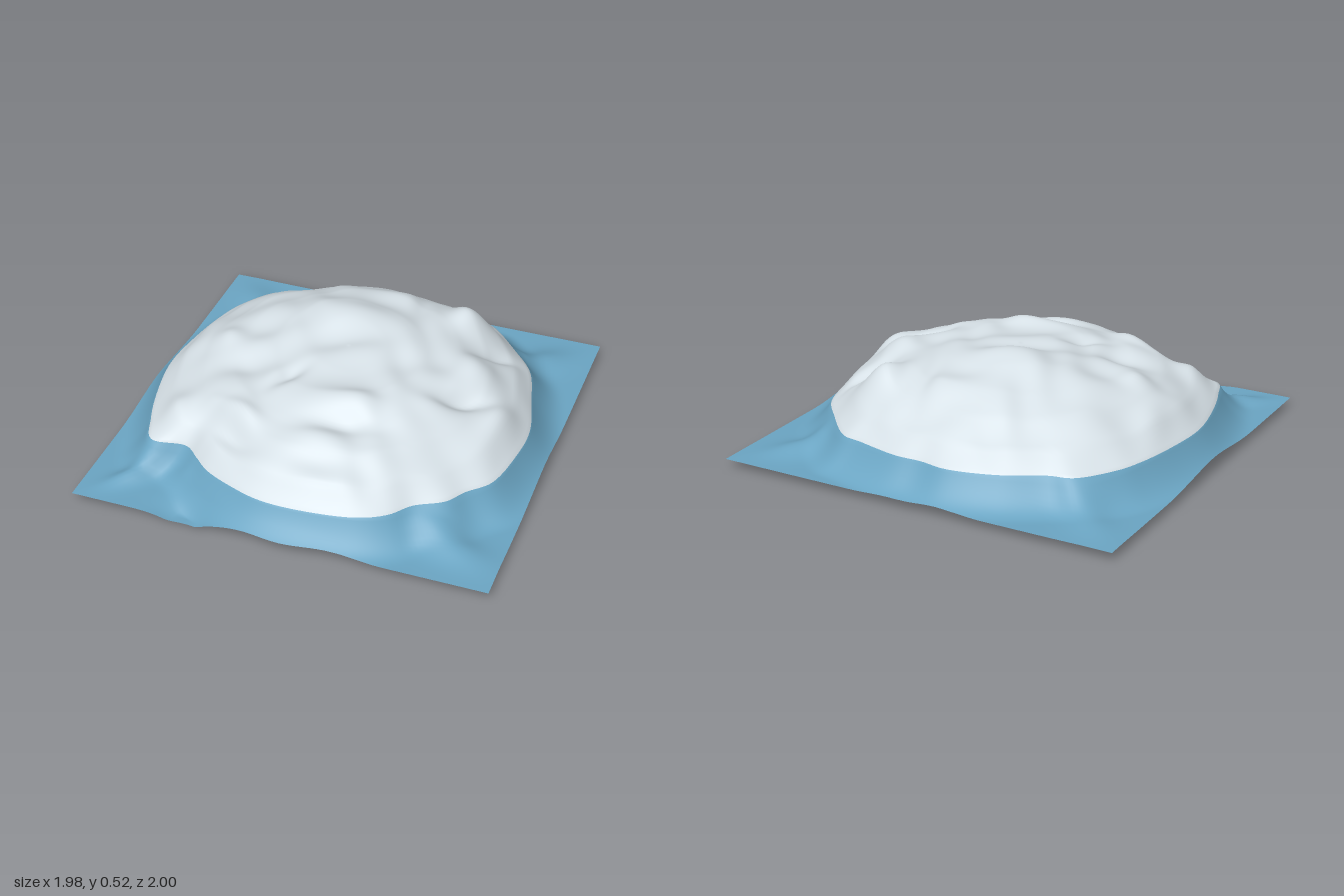
import * as THREE from 'three';

// Shoreline of the pale upper ground, seen from above (x, z)
const SHORE = [
  [0.89, 0], [0.88, 0.2], [0.83, 0.42], [0.74, 0.52], [0.68, 0.61], [0.55, 0.69], [0.47, 0.785], [0.35, 0.85],
  [0.1, 0.89], [-0.1, 0.885], [-0.25, 0.84], [-0.4, 0.77], [-0.48, 0.7], [-0.56, 0.635],
  [-0.73, 0.645], [-0.8, 0.5], [-0.86, 0.3], [-0.9, 0.05], [-0.875, -0.2], [-0.83, -0.4],
  [-0.78, -0.53], [-0.65, -0.7], [-0.54, -0.73], [-0.35, -0.83], [-0.12, -0.885], [0.02, -0.865], [0.15, -0.865],
  [0.38, -0.81], [0.47, -0.79], [0.65, -0.61], [0.76, -0.47], [0.83, -0.25],
];
const SHORE_Y = 0.185;

// Dome height against distance (0 = middle, 1 = shoreline)
const DOME = [[0, 0.455], [0.2, 0.45], [0.4, 0.432], [0.6, 0.392], [0.75, 0.345], [0.9, 0.268], [1, SHORE_Y]];

// Knolls and hollows on the dome: x, z, height, length, width, turn from the x axis towards z
const KNOLLS = [
  [-0.12, -0.25, 0.07, 0.33, 0.18, 0], [-0.6, 0.02, 0.05, 0.08, 0.08, 0], [-0.42, 0.2, -0.035, 0.16, 0.09, 0],
  [0.44, -0.52, 0.1, 0.14, 0.11, 1.9], [0.2, -0.52, -0.025, 0.13, 0.05, 1.3], [0.05, -0.55, 0.045, 0.3, 0.13, 0],
  [0.63, -0.36, -0.045, 0.12, 0.05, -0.8], [0.58, -0.13, 0.06, 0.11, 0.1, 0.4], [0.58, 0.11, -0.04, 0.12, 0.05, -0.5],
  [0.78, 0.13, 0.07, 0.14, 0.08, 1.6], [0.46, 0.22, 0.03, 0.12, 0.08, 0], [0.16, 0.36, 0.04, 0.15, 0.07, -0.2],
  [-0.2, 0.27, -0.03, 0.1, 0.045, -0.9], [0.14, 0.49, -0.03, 0.17, 0.05, -0.2], [-0.35, 0.52, 0.03, 0.16, 0.05, 0.3],
  [-0.33, 0.64, -0.035, 0.16, 0.05, 0.35], [-0.67, 0.5, 0.045, 0.1, 0.08, 1], [0.08, 0.79, 0.03, 0.25, 0.06, 0],
  [-0.55, -0.45, 0.015, 0.15, 0.15, 0], [0.15, 0.61, 0.02, 0.2, 0.06, 0], [-0.77, -0.1, 0.035, 0.2, 0.08, 1.5],
];
// Rises and dips on the low ground, same layout
const LOW_GROUND = [
  [-0.45, 0.95, -0.055, 0.12, 0.1, 0], [-0.76, 0.75, 0.045, 0.14, 0.05, 2.36], [-0.5, 0.74, 0.02, 0.12, 0.04, 0.1],
  [0.69, 0.73, 0.05, 0.2, 0.09, 0.3], [0.73, -0.73, 0.04, 0.16, 0.09, -0.8], [-0.76, -0.78, 0.025, 0.16, 0.09, 0.8],
  [0, 1, 0.008, 0.25, 0.08, 0],
];

const bumps = (list, x, z) => list.reduce((sum, [bx, bz, h, length, width, turn]) => {
  const c = Math.cos(turn), s = Math.sin(turn), dx = x - bx, dz = z - bz;
  return sum + h * Math.exp(-(((dx * c + dz * s) / length) ** 2) - ((dz * c - dx * s) / width) ** 2);
}, 0);

function domeHeight(t) {
  const i = Math.max(1, DOME.findIndex(p => p[0] >= t - 1e-9));
  const [a, b] = [DOME[i - 1], DOME[i]];
  return THREE.MathUtils.lerp(a[1], b[1], (t - a[0]) / (b[0] - a[0]));
}

// Shoreline radius for any direction
function makeShoreRadius() {
  const curve = new THREE.CatmullRomCurve3(SHORE.map(([x, z]) => new THREE.Vector3(x, 0, z)), true);
  const samples = curve.getPoints(500).map(p => [Math.atan2(p.z, p.x), Math.hypot(p.x, p.z)]);
  samples.sort((a, b) => a[0] - b[0]);
  return angle => {
    const i = samples.findIndex(s => s[0] >= angle);
    if (i < 1) return samples[0][1];
    const [a, b] = [samples[i - 1], samples[i]];
    return b[0] - a[0] < 1e-6 ? b[1] : THREE.MathUtils.lerp(a[1], b[1], (angle - a[0]) / (b[0] - a[0]));
  };
}

// Square outer edge, with a wavy front side
function outerEdge(perSide) {
  const points = [];
  const frontZ = x => 0.968 + 0.032 * Math.exp(-(((x - 0.03) / 0.18) ** 2))
    - 0.02 * Math.exp(-(((x + 0.45) / 0.13) ** 2));
  for (let side = 0; side < 4; side++) {
    for (let i = 0; i < perSide; i++) {
      const s = (i / perSide) * 2 - 1;
      const x = [0.988, -s * 0.988, -0.988, s * 0.988][side];
      const z = [s, 1, -s, -1][side];
      points.push([x, side === 1 ? frontZ(x) : z < 0 ? z : z * 0.968]);
    }
  }
  return points;
}

export function createModel() {
  const upperGround = new THREE.MeshStandardMaterial({ color: 0xd6e0e6, side: THREE.DoubleSide });
  upperGround.name = 'paleGround';
  const lowerGround = new THREE.MeshStandardMaterial({ color: 0x6ba5c3, side: THREE.DoubleSide });
  lowerGround.name = 'blueGround';

  const INNER = 56, OUTER = 16, RINGS = INNER + OUTER;
  const edge = outerEdge(56), n = edge.length;
  const shoreRadius = makeShoreRadius();
  const positions = [], index = [];

  // Rings from the middle to the shoreline, then on to the square edge
  for (let ring = 0; ring <= RINGS; ring++) {
    for (const [ex, ez] of edge) {
      const reach = Math.hypot(ex, ez), shore = shoreRadius(Math.atan2(ez, ex));
      const t = Math.min(1, ring / INNER), s = Math.max(0, (ring - INNER) / OUTER);
      const r = shore * t + (reach - shore) * s;
      const x = (ex / reach) * r, z = (ez / reach) * r;
      let y;
      if (ring <= INNER) {
        // Round in the middle, following the shoreline only near it
        const size = THREE.MathUtils.lerp(0.89, shore, t ** 6);
        const ripple = 0.006 * Math.sin(15 * x + 6 * z + 2 * Math.sin(8 * z))
          + 0.005 * Math.sin(21 * z - 9 * x + 2 * Math.sin(11 * x));
        y = domeHeight(Math.min(1, r / size)) + (bumps(KNOLLS, x, z) + ripple) * (1 - t ** 10);
      } else {
        const d = r - shore;
        const slope = Math.max(0, 1 - d / 0.17) ** 2;
        y = 0.04 + (SHORE_Y - 0.04) * slope + bumps(LOW_GROUND, x, z) * Math.min(1, d / 0.06);
      }
      positions.push(x, Math.max(0, y), z);
    }
  }
  for (let ring = 0; ring < RINGS; ring++) {
    for (let i = 0; i < n; i++) {
      const a = ring * n + i, b = ring * n + (i + 1) % n;
      if (ring > 0) index.push(a, b, a + n);
      index.push(b, b + n, a + n);
    }
  }

  const geometry = new THREE.BufferGeometry();
  geometry.setAttribute('position', new THREE.Float32BufferAttribute(positions, 3));
  geometry.setIndex(index);
  geometry.computeVertexNormals();
  // The middle ring is one point, so its normal simply faces up
  for (let i = 0; i < n; i++) geometry.attributes.normal.setXYZ(i, 0, 1, 0);

  // Pale ground inside the shoreline, blue outside
  const split = 3 * n + (INNER - 1) * 6 * n;
  geometry.addGroup(0, split, 0);
  geometry.addGroup(split, index.length - split, 1);

  const terrain = new THREE.Mesh(geometry, [upperGround, lowerGround]);
  terrain.name = 'terrain';
  const group = new THREE.Group();
  group.name = 'island';
  group.add(terrain);
  return group;
}
